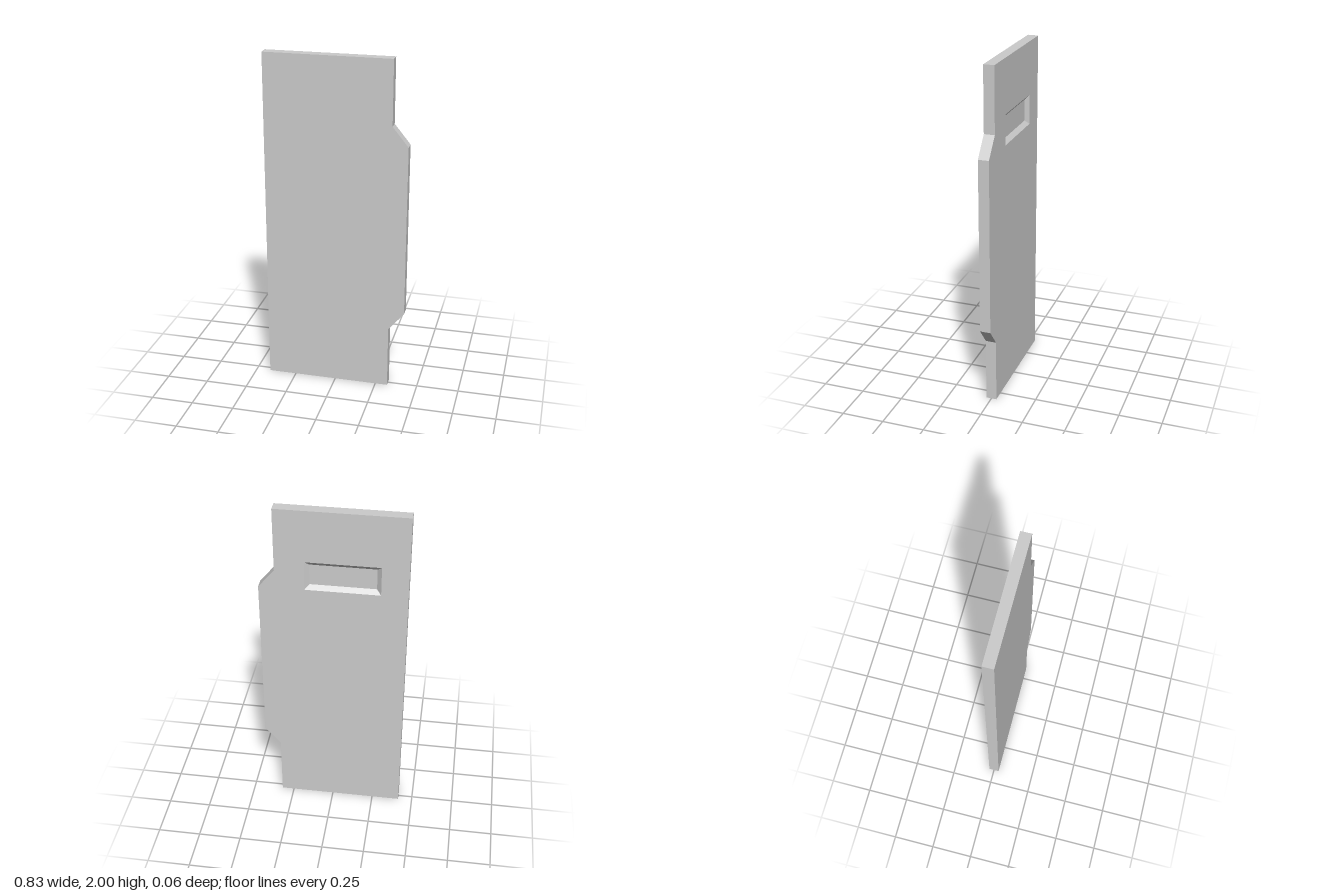
import * as THREE from 'three';
import { mergeGeometries } from 'three/addons/utils/BufferGeometryUtils.js';

const HALF = 0.031;   // half the panel thickness
const DEPTH = 0.022;  // depth of the grip recess
const INSET = 0.025;  // how far the recess walls slope inward

const points = (list) => list.map(([x, y]) => new THREE.Vector2(x, y));

// Clockwise rectangle (as seen from +z), used for the recess loops
const rect = (x0, y0, x1, y1) => points([[x0, y0], [x0, y1], [x1, y1], [x1, y0]]);

// Flat face at depth z, facing +z, or -z when flipped
function face(loop, z, flip, hole) {
  const shape = new THREE.Shape(loop);
  if (hole) shape.holes.push(new THREE.Path(hole));
  const g = new THREE.ShapeGeometry(shape).translate(0, 0, z);
  if (flip) g.setIndex([...g.index.array].reverse());
  const flat = g.toNonIndexed();
  flat.deleteAttribute('uv');
  flat.computeVertexNormals();
  return flat;
}

// Band of quads joining loop a at za to loop b at zb
function wall(a, za, b, zb) {
  const pos = [];
  a.forEach((p, i) => {
    const j = (i + 1) % a.length;
    const c = [[p.x, p.y, za], [a[j].x, a[j].y, za], [b[j].x, b[j].y, zb], [b[i].x, b[i].y, zb]];
    for (const k of [0, 1, 2, 0, 2, 3]) pos.push(...c[k]);
  });
  const g = new THREE.BufferGeometry();
  g.setAttribute('position', new THREE.Float32BufferAttribute(pos, 3));
  g.computeVertexNormals();
  return g;
}

export function createModel() {
  const group = new THREE.Group();
  group.name = 'doorPanel';
  const material = new THREE.MeshStandardMaterial({ color: 0xcccccc, flatShading: true });
  const add = (name, parts) => {
    const mesh = new THREE.Mesh(mergeGeometries(parts), material);
    mesh.name = name;
    group.add(mesh);
  };

  // Panel outline with the widened tab on its left edge
  const outline = points([
    [-0.415, 0], [0.323, 0], [0.323, 0.38], [0.415, 0.49],
    [0.415, 1.512], [0.323, 1.625], [0.323, 2], [-0.415, 2],
  ]);

  // Recess mouth and its smaller floor
  const [x0, y0, x1, y1] = [-0.265, 1.515, 0.157, 1.69];
  const mouth = rect(x0, y0, x1, y1);
  const floor = rect(x0 + INSET, y0 + INSET, x1 - INSET, y1 - INSET);

  add('panel', [
    face(outline, HALF, false),
    face(outline, -HALF, true, mouth),
    wall(outline, -HALF, outline, HALF),
  ]);

  // Sloped grip recess in the back
  add('gripRecess', [
    wall(mouth, -HALF, floor, -HALF + DEPTH),
    face(floor, -HALF + DEPTH, true),
  ]);

  return group;
}
